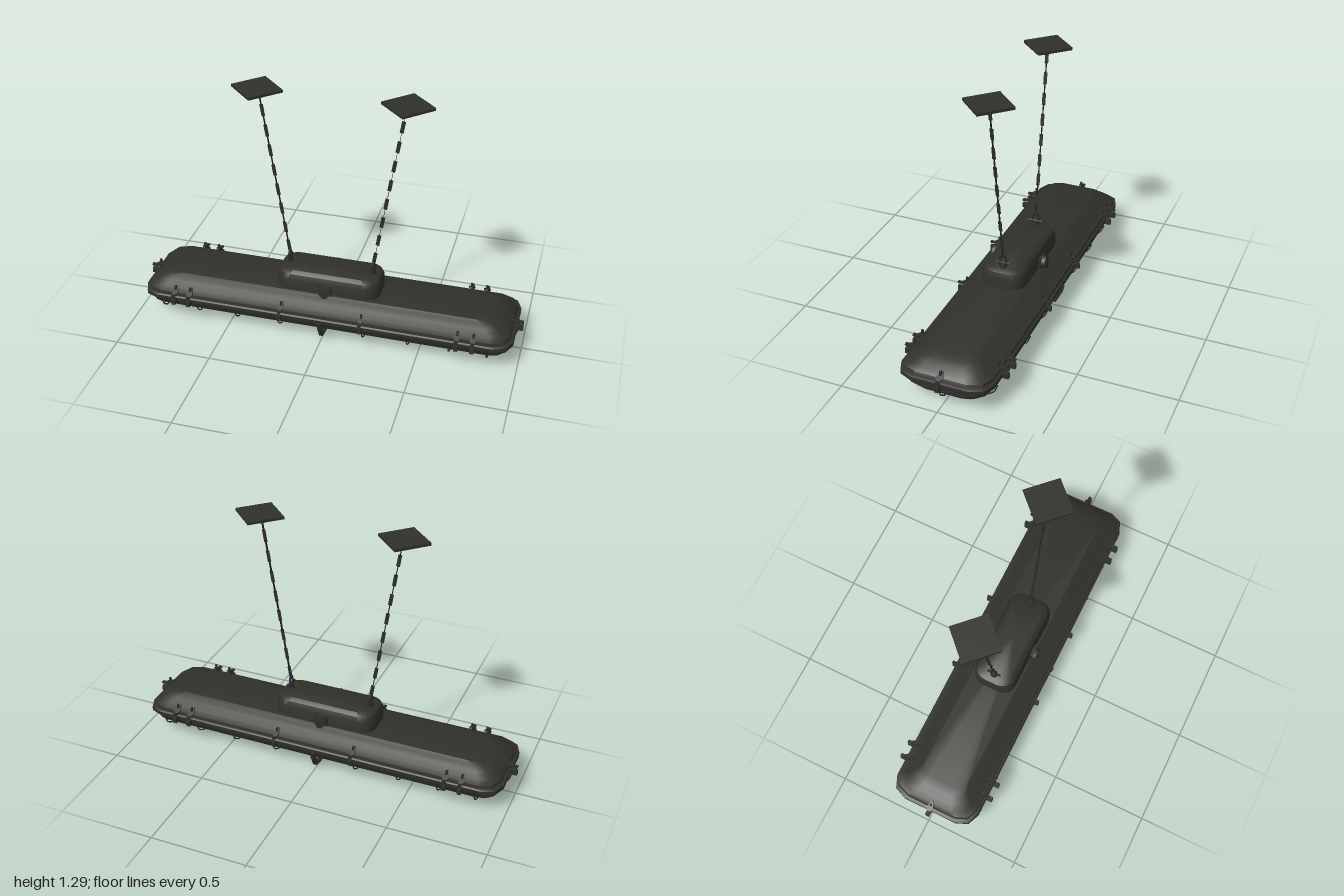
import * as THREE from 'three';
import { toCreasedNormals } from 'three/addons/utils/BufferGeometryUtils.js';

const mat = (name, color, side = THREE.FrontSide) => {
  const m = new THREE.MeshStandardMaterial({ color, side });
  m.name = name;
  return m;
};

// Rounded rectangle ring at height y, starting on the +x side
function ring([hx, hz, y, r], segs) {
  const pts = [];
  const corners = [[1, 1], [-1, 1], [-1, -1], [1, -1]];
  corners.forEach(([sx, sz], c) => {
    for (let i = 0; i <= segs; i++) {
      const a = (c + i / segs) * Math.PI / 2;
      pts.push([sx * (hx - r) + Math.cos(a) * r, y, sz * (hz - r) + Math.sin(a) * r]);
    }
  });
  return pts;
}

// Skin a stack of rings from bottom to top and cap both ends
function loft(sections, segs = 3, crease = 0.6) {
  const rings = sections.map(s => ring(s, segs));
  const pos = [];
  const tri = (...p) => p.forEach(v => pos.push(...v));
  const n = rings[0].length, last = rings.length - 1;
  for (let i = 0; i < n; i++) {
    const j = (i + 1) % n;
    for (let k = 0; k < last; k++) {
      const a = rings[k], b = rings[k + 1];
      tri(a[i], b[i], a[j]);
      tri(a[j], b[i], b[j]);
    }
    tri([0, sections[0][2], 0], rings[0][i], rings[0][j]);
    tri([0, sections[last][2], 0], rings[last][j], rings[last][i]);
  }
  const g = new THREE.BufferGeometry();
  g.setAttribute('position', new THREE.Float32BufferAttribute(pos, 3));
  return toCreasedNormals(g, crease);
}

export function createModel() {
  const olive = mat('olive paint', 0x30312a);
  const lensMat = mat('smoked lens', 0x3e3a41);
  const steel = mat('dark steel', 0x2c2c30);
  const chainMat = mat('chain steel', 0x2c2c30, THREE.DoubleSide);
  const model = new THREE.Group();
  model.name = 'hangingLamp';

  const add = (parent, name, geo, material, x = 0, y = 0, z = 0) => {
    const m = new THREE.Mesh(geo, material);
    m.name = name;
    m.position.set(x, y, z);
    parent.add(m);
    return m;
  };
  const box = (parent, name, size, p, material = olive) =>
    add(parent, name, new THREE.BoxGeometry(...size), material, ...p);
  const rod = (parent, name, pts, r, material = steel) => {
    const path = new THREE.CurvePath();
    const v = pts.map(p => new THREE.Vector3(...p));
    for (let i = 1; i < v.length; i++) path.add(new THREE.LineCurve3(v[i - 1], v[i]));
    return add(parent, name, new THREE.TubeGeometry(path, (v.length - 1) * 4, r, 5), material);
  };

  // Lens, rim, hood and the raised ballast box
  add(model, 'lens', loft([
    [0.89, 0.11, 0.042, 0.06], [0.925, 0.17, 0.056, 0.08],
    [0.945, 0.207, 0.083, 0.09], [0.952, 0.225, 0.122, 0.09]]), lensMat);
  add(model, 'rim', loft([
    [0.965, 0.232, 0.118, 0.09], [0.97, 0.236, 0.124, 0.09],
    [0.97, 0.236, 0.145, 0.09], [0.96, 0.23, 0.151, 0.09]], 2), olive);
  add(model, 'hood', loft([
    [0.955, 0.224, 0.15, 0.09], [0.95, 0.222, 0.165, 0.09], [0.935, 0.19, 0.178, 0.08],
    [0.905, 0.165, 0.202, 0.07], [0.87, 0.142, 0.216, 0.06], [0.83, 0.125, 0.228, 0.05]], 2), olive);
  add(model, 'ballastBox', loft([
    [0.27, 0.116, 0.21, 0.07], [0.27, 0.115, 0.285, 0.07],
    [0.262, 0.105, 0.312, 0.07], [0.24, 0.085, 0.326, 0.06]], 4), olive);

  // Cable glands on both sides of the box
  for (const s of [1, -1]) {
    const gland = new THREE.Group();
    gland.name = 'cableGland';
    model.add(gland);
    box(gland, 'glandBase', [0.07, 0.065, 0.015], [0, 0.252, s * 0.12]);
    const nut = add(gland, 'glandNut', new THREE.CylinderGeometry(0.032, 0.032, 0.03, 8),
      olive, 0, 0.255, s * 0.132);
    nut.rotation.x = Math.PI / 2;
    box(gland, 'glandTab', [0.025, 0.04, 0.01], [0, 0.245, s * 0.148], steel);
  }

  // Toggle clip, modelled facing +z with its outer face at z = 0
  const clip = (x, z, turn, scale) => {
    const g = new THREE.Group();
    g.name = 'clip';
    box(g, 'clipBlock', [0.02, 0.028, 0.034], [0, 0.132, -0.017]);
    box(g, 'clipLever', [0.018, 0.009, 0.05], [0, 0.165, -0.025], steel);
    const fin = new THREE.Shape([[-0.006, -0.04], [-0.018, 0], [0, 0.034], [0.018, 0], [0.006, -0.04]]
      .map(p => new THREE.Vector2(...p)));
    const latch = add(g, 'clipLatch',
      new THREE.ExtrudeGeometry(fin, { depth: 0.008, bevelEnabled: false }), olive, 0, 0.177, -0.035);
    latch.rotation.x = Math.PI / 2 + 0.45;
    box(g, 'clipStem', [0.01, 0.05, 0.01], [0, 0.18, -0.05], steel);
    g.position.set(x, 0, z);
    g.rotation.y = turn;
    g.scale.set(scale, 1, 1);
    model.add(g);
  };
  for (const s of [1, -1]) {
    const turn = s > 0 ? 0 : Math.PI;
    for (const x of [-0.78, -0.7, 0.7, 0.78]) clip(x, s * 0.265, turn, 1);
    for (const x of [-0.21, 0.21]) clip(x, s * 0.255, turn, 0.8);
    clip(s, 0, s * Math.PI / 2, 1);
  }

  // Wire guard below the lens
  for (const x of [-0.85, -0.66, -0.45, -0.22, 0.22, 0.45, 0.66, 0.85]) {
    rod(model, 'guardWire', [[x, 0.125, -0.24], [x, 0.08, -0.222], [x, 0.052, -0.18], [x, 0.038, -0.1],
      [x, 0.038, 0.1], [x, 0.052, 0.18], [x, 0.08, 0.222], [x, 0.125, 0.24]], 0.0035);
  }
  for (const s of [1, -1]) {
    rod(model, 'endGuardWire', [[s * 0.98, 0.13, 0], [s * 0.96, 0.075, 0],
      [s * 0.92, 0.042, 0], [s * 0.85, 0.038, 0]], 0.0035);
  }

  // Broad centre strap, swept as a flat band
  const strap = new THREE.Shape([
    [-0.245, 0.13], [-0.235, 0.09], [-0.205, 0.03], [-0.1, 0.014], [0, 0.004], [0.1, 0.014],
    [0.205, 0.03], [0.235, 0.09], [0.245, 0.13], [0.23, 0.13], [0.218, 0.095], [0.193, 0.044],
    [0.1, 0.027], [0, 0.017], [-0.1, 0.027], [-0.193, 0.044], [-0.218, 0.095], [-0.23, 0.13]]
    .map(p => new THREE.Vector2(...p)));
  const band = add(model, 'centreStrap',
    new THREE.ExtrudeGeometry(strap, { depth: 0.02, bevelEnabled: false }), olive, -0.01, 0, 0);
  band.rotation.y = Math.PI / 2;

  // Shackles, chains and ceiling plates, mirrored left and right
  for (const s of [1, -1]) {
    const hanger = new THREE.Group();
    hanger.name = s > 0 ? 'leftHanger' : 'rightHanger';
    model.add(hanger);

    const base = add(hanger, 'shackleBase', new THREE.CylinderGeometry(0.012, 0.018, 0.03, 8),
      steel, s * 0.22, 0.335, 0);
    base.scale.z = 1.2;
    const pin = add(hanger, 'shacklePin', new THREE.CylinderGeometry(0.006, 0.006, 0.075, 6),
      steel, s * 0.22, 0.35, 0);
    pin.rotation.x = Math.PI / 2;
    rod(hanger, 'shackleBow', [[s * 0.22, 0.335, -0.018], [s * 0.221, 0.375, -0.016],
      [s * 0.222, 0.395, -0.006], [s * 0.222, 0.395, 0.006],
      [s * 0.221, 0.375, 0.016], [s * 0.22, 0.335, 0.018]], 0.006);

    // Thin flat links, each turned a quarter from the last
    const from = new THREE.Vector3(s * 0.222, 0.39, 0);
    const to = new THREE.Vector3(s * 0.36, 1.25, 0);
    const count = 16;
    const chain = new THREE.Group();
    chain.name = 'chain';
    chain.position.copy(from);
    chain.rotation.z = -s * Math.atan2(Math.abs(to.x - from.x), to.y - from.y);
    hanger.add(chain);
    const pitch = from.distanceTo(to) / count;
    for (let i = 0; i < count; i++) {
      const link = add(chain, 'chainLink', new THREE.PlaneGeometry(0.019, 0.064),
        chainMat, 0, (i + 0.5) * pitch, 0);
      link.rotation.y = i % 2 ? Math.PI / 2 : 0;
    }

    rod(hanger, 'ceilingHook', [[s * 0.345, 1.27, 0], [s * 0.35, 1.235, 0],
      [s * 0.375, 1.235, 0], [s * 0.38, 1.27, 0]], 0.004);
    const lower = box(hanger, 'lowerPlate', [0.095, 0.012, 0.095], [s * 0.37, 1.27, 0]);
    const upper = box(hanger, 'ceilingPlate', [0.184, 0.014, 0.184], [s * 0.37, 1.283, 0]);
    lower.rotation.y = upper.rotation.y = Math.PI / 4;
  }
  return model;
}
